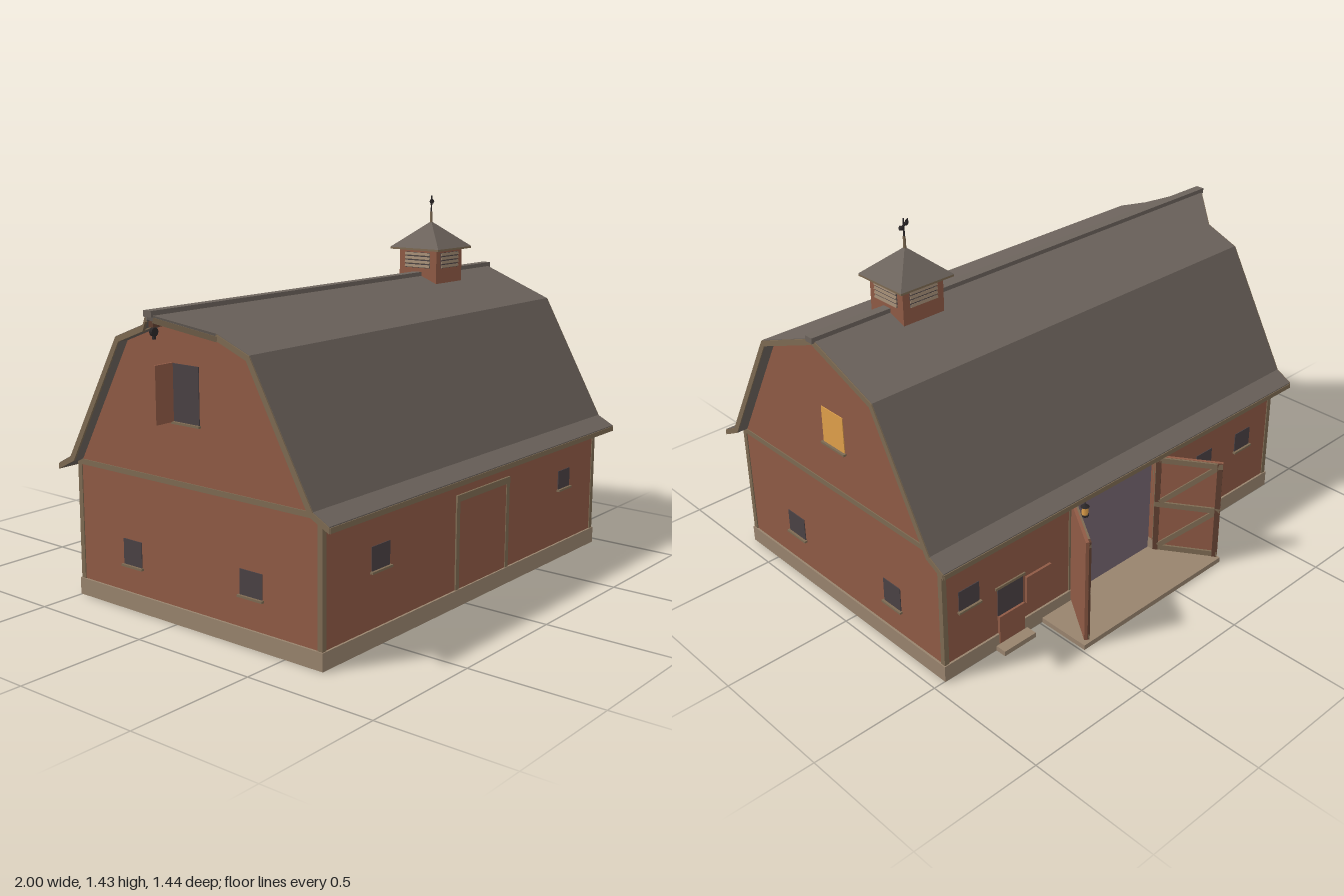
import * as THREE from 'three';
import { ConvexGeometry } from 'three/addons/geometries/ConvexGeometry.js';

const mat = (color, extra = {}) => new THREE.MeshStandardMaterial({ color, ...extra });
const RED = mat(0x8f5a45), TRIM = mat(0x7d6a52), STONE = mat(0x98836d), ROOF = mat(0x6c635c, { flatShading: true });
const GLASS = mat(0x4a4144), LIT = mat(0xe0a04a), DARK = mat(0x2b2728), BASE = mat(0x201e1d), WOOD = mat(0x5f3f30);
const ROOM = mat(0x4b4048, { side: THREE.BackSide });

// Building extents
const X0 = -0.815, X1 = 0.945, XC = (X0 + X1) / 2, ZC = 0.08, HZ = 0.575, ZF = ZC + HZ, ZB = ZC - HZ;
const OPEN = [-0.115, 0.335], OPEN_TOP = 0.45;

function add(parent, name, geo, material, x = 0, y = 0, z = 0) {
  const m = new THREE.Mesh(geo, material);
  m.name = name;
  m.position.set(x, y, z);
  parent.add(m);
  return m;
}

// Box given by its min and max on each axis
function box(parent, name, material, x0, x1, y0, y1, z0, z1) {
  return add(parent, name, new THREE.BoxGeometry(x1 - x0, y1 - y0, z1 - z0), material,
    (x0 + x1) / 2, (y0 + y1) / 2, (z0 + z1) / 2);
}

// Square bar running between two points
function bar(parent, name, material, a, b, w, h = w) {
  const p = new THREE.Vector3(...a), q = new THREE.Vector3(...b);
  const m = add(parent, name, new THREE.BoxGeometry(w, h, p.distanceTo(q)), material);
  m.position.copy(p).add(q).multiplyScalar(0.5);
  m.lookAt(q);
  return m;
}

const shapeOf = pts => new THREE.Shape(pts.map(p => new THREE.Vector2(...p)));
const mirrored = half => [...half, ...half.slice().reverse().filter(p => p[0] !== 0).map(([x, y]) => [-x, y])];

// Extrude a z-y section along x from x0 to x1
function section(parent, name, material, pts, x0, x1) {
  const geo = new THREE.ExtrudeGeometry(shapeOf(pts), { depth: x1 - x0, bevelEnabled: false }).rotateY(Math.PI / 2);
  return add(parent, name, geo, material, x0, 0, ZC);
}

// Window facing local +z, with a sill
function windowUnit(parent, name, x, y, z, angle, w, h, material = GLASS) {
  const g = new THREE.Group();
  g.name = name;
  box(g, 'pane', material, -w / 2, w / 2, -h / 2, h / 2, -0.01, 0.003);
  box(g, 'sill', TRIM, -w / 2 - 0.006, w / 2 + 0.006, -h / 2 - 0.008, -h / 2, -0.01, 0.012);
  g.position.set(x, y, z);
  g.rotation.y = angle;
  parent.add(g);
}

// Hinged barn door leaf with zigzag bracing on one face
function doorLeaf(parent, name, x, angle, side) {
  const g = new THREE.Group(), L = 0.25, lo = 0.03, hi = 0.45, mid = 0.24, z = side * 0.01;
  g.name = name;
  box(g, 'doorPanel', RED, 0, L, lo, hi, -0.006, 0.006);
  for (const y of [lo + 0.012, mid, hi - 0.012])
    bar(g, 'doorRail', TRIM, [0, y, z], [L, y, z], 0.008, 0.022);
  for (const px of [0.01, L - 0.01])
    box(g, 'doorStile', WOOD, px - 0.01, px + 0.01, lo, hi, z - 0.004, z + 0.004);
  bar(g, 'doorBrace', TRIM, [0.02, lo + 0.02, z], [L - 0.02, mid - 0.01, z], 0.008, 0.02);
  bar(g, 'doorBrace', TRIM, [0.02, mid + 0.01, z], [L - 0.02, hi - 0.02, z], 0.008, 0.02);
  g.position.set(x, 0, ZB - 0.005);
  g.rotation.y = angle;
  parent.add(g);
}

function buildWalls(g) {
  // Foundation, open at the big doorway
  const fx0 = X0 - 0.008, fx1 = X1 + 0.008, fz0 = ZB - 0.008, fz1 = ZF + 0.008, fh = 0.065;
  box(g, 'groundSlab', BASE, fx0 + 0.002, fx1 - 0.002, 0, 0.012, fz0 + 0.002, fz1 - 0.002);
  box(g, 'foundationFront', STONE, fx0, fx1, 0.001, fh, fz1 - 0.03, fz1);
  box(g, 'foundationBack', STONE, fx0, OPEN[0], 0.001, fh, fz0, fz0 + 0.03);
  box(g, 'foundationBack', STONE, OPEN[1], fx1, 0.001, fh, fz0, fz0 + 0.03);
  for (const x of [fx0, fx1 - 0.03]) box(g, 'foundationEnd', STONE, x, x + 0.03, 0.001, fh, fz0 + 0.03, fz1 - 0.03);

  // Long walls
  box(g, 'frontWall', RED, X0, X1, 0.06, 0.53, ZF - 0.02, ZF);
  const back = shapeOf([[X0, 0.06], [OPEN[0], 0.06], [OPEN[0], OPEN_TOP], [OPEN[1], OPEN_TOP],
    [OPEN[1], 0.06], [X1, 0.06], [X1, 0.53], [X0, 0.53]]);
  add(g, 'backWall', new THREE.ExtrudeGeometry(back, { depth: 0.02, bevelEnabled: false }), RED, 0, 0, ZB);

  // Gable ends
  const gable = mirrored([[HZ, 0.06], [HZ, 0.515], [0.302, 0.992], [0, 1.11]]);
  section(g, 'gableEnd', RED, gable, X0, X0 + 0.02);
  section(g, 'gableEnd', RED, gable, X1 - 0.02, X1);
  box(g, 'interior', ROOM, X0 + 0.02, X1 - 0.02, 0.018, 0.5, ZB + 0.005, ZF - 0.02);

  // Corner boards and belt boards
  for (const x of [X0, X1]) for (const z of [ZB, ZF])
    box(g, 'cornerBoard', TRIM, x - (x < 0 ? 0.004 : 0.016), x + (x < 0 ? 0.016 : 0.004), 0.065, 0.52,
      z - (z < 0 ? 0.004 : 0.016), z + (z < 0 ? 0.016 : 0.004));
  for (const x of [X0, X1]) box(g, 'beltBoard', TRIM, x - 0.004, x + 0.004, 0.502, 0.522, ZB, ZF);
  for (const z of [ZB, ZF]) box(g, 'eaveBoard', TRIM, X0, X1, 0.485, 0.505, z - 0.004, z + 0.004);
}

function buildRoof(g) {
  const outer = [[0.638, 0.503], [0.572, 0.538], [0.312, 1.003], [0, 1.125]];
  const inner = [[0, 1.1], [0.298, 0.985], [0.555, 0.522], [0.638, 0.48]];
  const ring = (out, inn) => [...out, ...out.slice(0, 3).reverse().map(([x, y]) => [-x, y]),
    ...inn.slice(1).reverse().map(([x, y]) => [-x, y]), ...inn];
  section(g, 'roofShell', ROOF, ring(outer, inner), -0.856, 0.986);
  for (const x of [-0.86, 0.982]) section(g, 'rakeBoard', TRIM, ring(outer.map(([a, b]) => [a, b - 0.002]), inner), x, x + 0.008);
  for (const s of [-1, 1]) {
    const z = ZC + s * 0.638;
    box(g, 'fascia', TRIM, -0.856, 0.986, 0.48, 0.499, z - 0.003, z + 0.003);
  }
  box(g, 'ridgeCap', ROOF, -1, 1, 1.113, 1.134, ZC - 0.018, ZC + 0.018);

  // Pointed hay hood over the end gable
  for (const s of [-1, 1]) {
    const pts = [];
    for (const d of [0, 0.02])
      for (const [x, y, z] of [[-0.855, 1.125, 0], [-1, 1.125, 0], [-0.99, 1.118, 0.018], [-0.855, 1.057, 0.174]])
        pts.push(new THREE.Vector3(x, y - d, ZC + s * z));
    add(g, 'hayHood', new ConvexGeometry(pts), ROOF);
    bar(g, 'hoodRake', TRIM, [-0.99, 1.103, ZC + s * 0.016], [-0.857, 1.04, ZC + s * 0.172], 0.008, 0.018);
  }
  box(g, 'hoistBeam', WOOD, -0.985, X0, 1.078, 1.098, ZC - 0.01, ZC + 0.01);
  add(g, 'hoistPulley', new THREE.CylinderGeometry(0.015, 0.015, 0.012, 12).rotateX(Math.PI / 2), DARK, -0.972, 1.062, ZC);
  box(g, 'hoistHook', DARK, -0.976, -0.966, 1.037, 1.06, ZC - 0.004, ZC + 0.004);
}

function buildCupola(g) {
  const c = new THREE.Group();
  c.name = 'cupola';
  c.position.set(0.58, 0, ZC);
  g.add(c);
  box(c, 'cupolaBase', RED, -0.09, 0.09, 1.085, 1.225, -0.09, 0.09);
  for (let i = 0; i < 4; i++) {
    const side = new THREE.Group();
    side.name = 'louver';
    side.rotation.y = i * Math.PI / 2;
    box(side, 'louverRecess', GLASS, -0.06, 0.06, 1.15, 1.212, 0.088, 0.092);
    for (let k = 0; k < 4; k++)
      add(side, 'slat', new THREE.BoxGeometry(0.12, 0.011, 0.006).rotateX(-0.4), STONE, 0, 1.157 + k * 0.016, 0.093);
    c.add(side);
  }
  box(c, 'cupolaEave', TRIM, -0.117, 0.117, 1.222, 1.23, -0.117, 0.117);
  add(c, 'cupolaRoof', new THREE.ConeGeometry(0.118 * Math.SQRT2, 0.102, 4).rotateY(Math.PI / 4), ROOF, 0, 1.281, 0);
  add(c, 'finial', new THREE.CylinderGeometry(0.005, 0.006, 0.05, 8), TRIM, 0, 1.345, 0);
  add(c, 'vaneRod', new THREE.CylinderGeometry(0.003, 0.003, 0.08, 8), DARK, 0, 1.395, 0);
  // Weather vane arrow
  const v = new THREE.Group();
  v.name = 'weatherVane';
  v.position.y = 1.41;
  v.rotation.y = 0.55;
  box(v, 'vaneShaft', DARK, -0.04, 0.035, -0.003, 0.003, -0.003, 0.003);
  box(v, 'vaneTail', DARK, -0.042, -0.022, -0.01, 0.01, -0.002, 0.002);
  add(v, 'vaneTip', new THREE.ConeGeometry(0.01, 0.02, 6).rotateZ(-Math.PI / 2), DARK, 0.036, 0, 0);
  c.add(v);
}

function buildOpenings(g) {
  const R = Math.PI / 2;
  // Windows
  windowUnit(g, 'frontWindow', -0.51, 0.31, ZF, 0, 0.1, 0.085);
  windowUnit(g, 'frontWindow', 0.705, 0.325, ZF, 0, 0.088, 0.075);
  for (const x of [0.83, -0.405, -0.645]) windowUnit(g, 'backWindow', x, 0.298, ZB, Math.PI, 0.092, 0.08);
  for (const [x, a] of [[X1, R], [X0, -R]]) {
    windowUnit(g, 'endWindow', x, 0.225, 0.35, a, 0.1, 0.09);
    windowUnit(g, 'endWindow', x, 0.215, -0.22, a, 0.092, 0.095);
  }
  windowUnit(g, 'loftWindow', X1, 0.765, 0.06, R, 0.12, 0.14, LIT);

  // Hay loft opening with its door swung out
  windowUnit(g, 'hayOpening', X0, 0.83, 0.065, -R, 0.12, 0.2);
  box(g, 'hayDoor', RED, -0.9, X0, 0.728, 0.932, -0.005, 0.005);

  // Closed sliding door on the front
  box(g, 'slidingDoor', RED, -0.045, 0.27, 0.066, 0.4, ZF, ZF + 0.003);
  for (const x of [-0.065, 0.268]) box(g, 'doorPost', TRIM, x, x + 0.02, 0.066, 0.415, ZF - 0.002, ZF + 0.006);
  box(g, 'doorTrack', TRIM, -0.065, 0.288, 0.395, 0.42, ZF - 0.002, ZF + 0.008);

  // Big doorway at the back: frame, leaves, ramp and lantern
  box(g, 'doorHeader', TRIM, OPEN[0] - 0.015, OPEN[1] + 0.015, OPEN_TOP, OPEN_TOP + 0.018, ZB - 0.004, ZB + 0.01);
  for (const x of [OPEN[0] - 0.015, OPEN[1]]) box(g, 'doorJamb', TRIM, x, x + 0.015, 0.066, OPEN_TOP, ZB - 0.004, ZB + 0.01);
  doorLeaf(g, 'doorLeafLeft', OPEN[1], 0.983, -1);
  doorLeaf(g, 'doorLeafRight', OPEN[0], Math.PI - 0.983, 1);
  box(g, 'ramp', STONE, -0.26, 0.49, 0, 0.02, -0.718, ZB + 0.02);
  const lx = 0.23, lz = -0.46;
  add(g, 'lanternCord', new THREE.CylinderGeometry(0.002, 0.002, 0.11, 6), DARK, lx, 0.43, lz);
  add(g, 'lanternCap', new THREE.ConeGeometry(0.018, 0.015, 8), DARK, lx, 0.37, lz);
  add(g, 'lanternGlass', new THREE.CylinderGeometry(0.012, 0.012, 0.034, 8), LIT, lx, 0.346, lz);
  add(g, 'lanternBase', new THREE.CylinderGeometry(0.015, 0.015, 0.007, 8), DARK, lx, 0.326, lz);

  // Small half door with its upper leaf folded back
  box(g, 'halfDoorOpening', GLASS, 0.58, 0.7, 0.14, 0.255, ZB - 0.003, ZB + 0.005);
  box(g, 'halfDoorLower', RED, 0.58, 0.7, 0.025, 0.14, ZB - 0.012, ZB);
  box(g, 'halfDoorUpper', RED, 0.455, 0.577, 0.14, 0.252, ZB - 0.02, ZB - 0.01);
  box(g, 'halfDoorLintel', TRIM, 0.57, 0.71, 0.255, 0.265, ZB - 0.006, ZB);
  box(g, 'doorStep', STONE, 0.565, 0.715, 0, 0.02, -0.547, ZB);
}

export function createModel() {
  const barn = new THREE.Group();
  barn.name = 'barn';
  buildWalls(barn);
  buildRoof(barn);
  buildCupola(barn);
  buildOpenings(barn);
  return barn;
}
